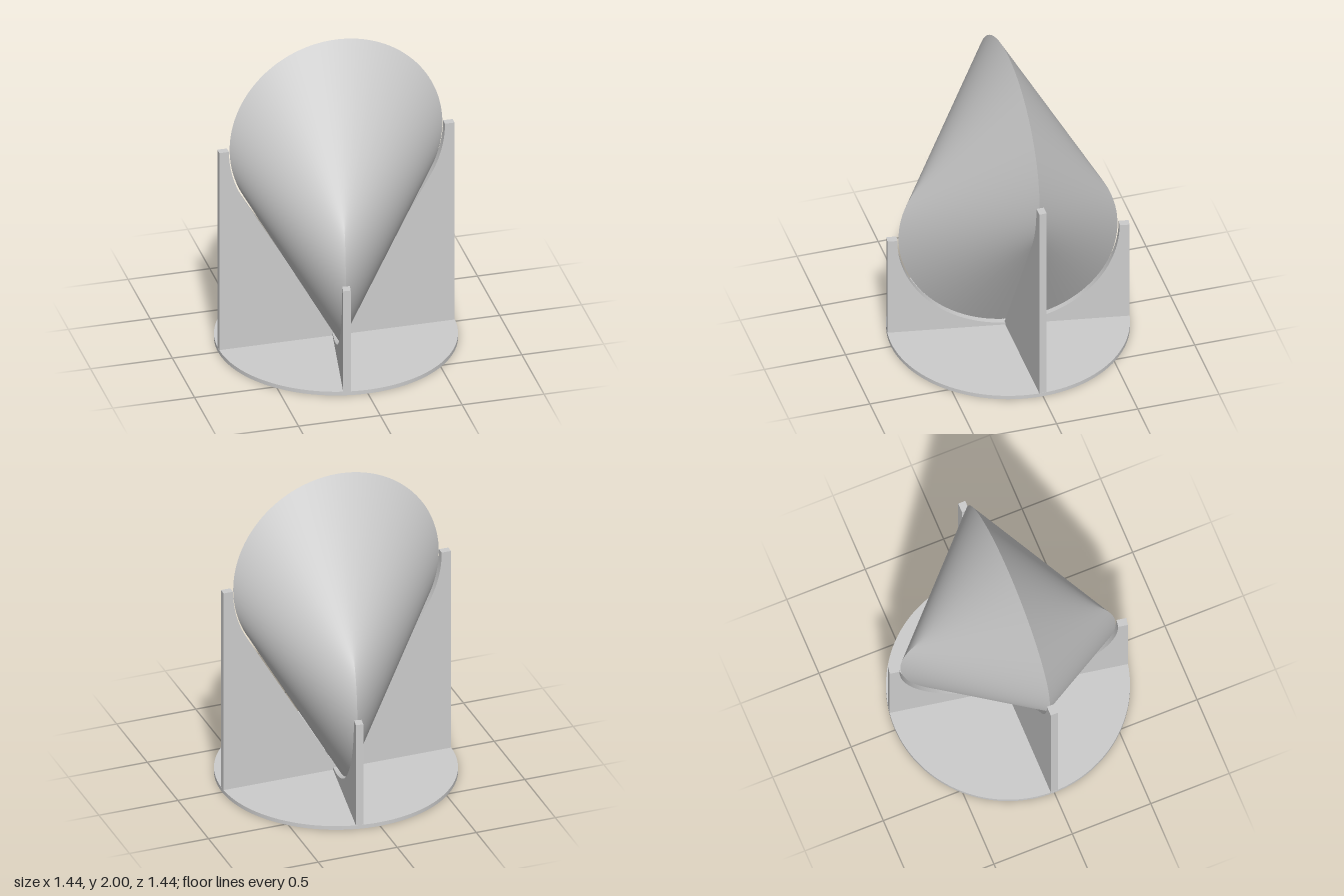
import * as THREE from 'three';

const R = 0.65;                          // radius of both generating discs
const TOP = 1.35, LOW = 0.70;            // heights of the disc centres
const TWIST = THREE.MathUtils.degToRad(10);
const GAP = 0.01, REACH = 0.719, THICK = 0.045;

// One developable side: rulings joining the upper arc to the lower arc, side = +1 front, -1 back
function sideGeometry(side, steps = 120) {
  const pos = [], nor = [], idx = [];
  const dir = new THREE.Vector3(-Math.sin(TWIST), 0, Math.cos(TWIST)).multiplyScalar(side);
  for (let i = 0; i <= steps; i++) {
    const t = (2 * Math.PI / 3) * Math.sin((i / steps - 0.5) * Math.PI);
    const c = Math.cos(t);
    const cosS = Math.max(-1, c / (1 + c));
    const sinS = Math.sqrt(1 - cosS * cosS);
    const a = new THREE.Vector3(R * Math.sin(t), TOP + R * c, 0);
    const b = dir.clone().multiplyScalar(R * sinS).setY(LOW + R * cosS);
    const tangent = new THREE.Vector3(c, -Math.sin(t), 0);
    const n = b.clone().sub(a).cross(tangent).normalize().multiplyScalar(side);
    pos.push(...a, ...b);
    nor.push(...n, ...n);
    if (i < steps) {
      const k = i * 2;
      if (side > 0) idx.push(k, k + 1, k + 2, k + 2, k + 1, k + 3);
      else idx.push(k, k + 2, k + 1, k + 2, k + 3, k + 1);
    }
  }
  const g = new THREE.BufferGeometry();
  g.setAttribute('position', new THREE.Float32BufferAttribute(pos, 3));
  g.setAttribute('normal', new THREE.Float32BufferAttribute(nor, 3));
  g.setIndex(idx);
  return g;
}

// Upright plate with a cradle cut: an arc from its top edge, ending at endAngle below level
function plateGeometry(height, endAngle) {
  const r = R + GAP, steps = 48;
  const half = [];
  for (let i = 0; i <= steps; i++) {
    const a = endAngle * i / steps;
    half.push([r * Math.cos(a), height - r * Math.sin(a)]);
  }
  // straight tangent from the arc down to the centre line
  if (endAngle < Math.PI / 2) half.push([0, height - r / Math.sin(endAngle)]);
  const shape = new THREE.Shape();
  shape.moveTo(-REACH, 0.01);
  shape.lineTo(REACH, 0.01);
  shape.lineTo(REACH, height);
  half.forEach(([x, y]) => shape.lineTo(x, y));
  half.slice(0, -1).reverse().forEach(([x, y]) => shape.lineTo(-x, y));
  shape.lineTo(-REACH, height);
  const g = new THREE.ExtrudeGeometry(shape, { depth: THICK, bevelEnabled: false });
  return g.translate(0, 0, -THICK / 2);
}

export function createModel() {
  const model = new THREE.Group();
  const grey = new THREE.MeshStandardMaterial({ color: 0xcccccc });
  grey.name = 'light grey';
  const add = (name, geometry, parent = model) => {
    const mesh = new THREE.Mesh(geometry, grey);
    mesh.name = name;
    parent.add(mesh);
    return mesh;
  };

  // Rolling solid spanned between two crossed discs
  const solid = new THREE.Group();
  solid.name = 'oloid';
  model.add(solid);
  add('oloidFront', sideGeometry(1), solid);
  add('oloidBack', sideGeometry(-1), solid);

  // Stand: round base and two crossed cradle plates
  add('base', new THREE.CylinderGeometry(0.72, 0.72, 0.025, 128).translate(0, 0.0125, 0));
  add('tallPlate', plateGeometry(TOP, Math.PI / 6));
  // the tangent at 30 degrees below level meets the centre line just above the base
  add('lowPlate', plateGeometry(LOW, Math.PI / 2)).rotation.y = Math.PI / 2 - TWIST;
  return model;
}
